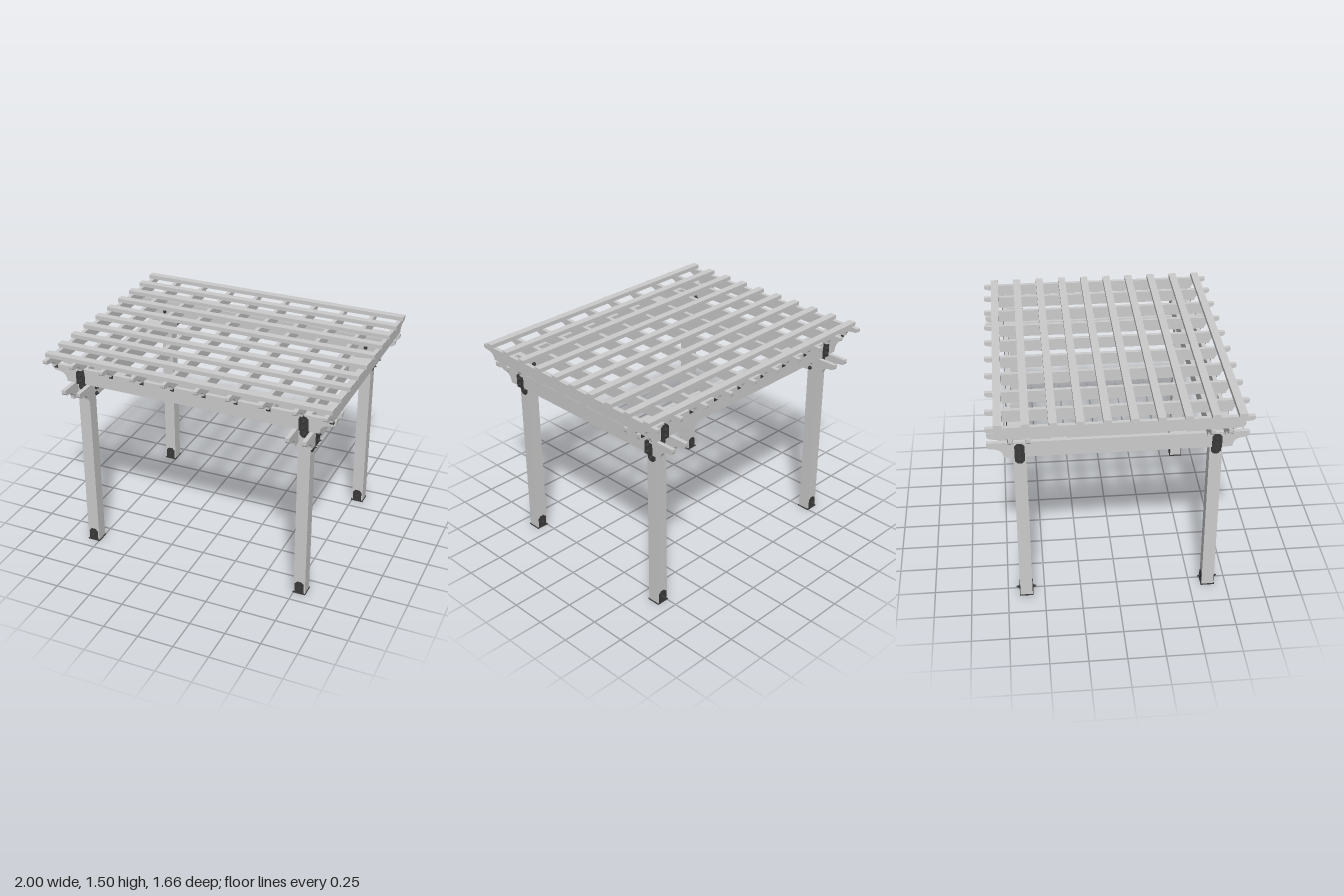
import * as THREE from 'three';

const WOOD = new THREE.MeshStandardMaterial({ color: 0xcccccc, flatShading: true });
const IRON = new THREE.MeshStandardMaterial({ color: 0x3a3a3a, flatShading: true });

const PX = 0.79, PZ = 0.625;      // post centres
const HALF = 0.0415, T = 0.028;   // half post width, beam thickness
const Y1 = 1.17, Y2 = 1.28, Y3 = 1.39, Y4 = 1.472, Y5 = 1.5; // layer heights

function add(parent, name, geometry, material, x = 0, y = 0, z = 0) {
  const mesh = new THREE.Mesh(geometry, material);
  mesh.name = name;
  mesh.position.set(x, y, z);
  parent.add(mesh);
  return mesh;
}

const box = (w, h, d) => new THREE.BoxGeometry(w, h, d);

// Board along x with ogee-cut lower ends, base at y = 0, centred in z
function ogeeBoard(half, h) {
  const side = [[0, h], [0, h * 0.8]];
  for (let i = 1; i <= 5; i++) { // convex nose
    const a = (i / 5) * Math.PI / 2;
    side.push([0.036 * (1 - Math.cos(a)), h * (0.8 - 0.2 * Math.sin(a))]);
  }
  for (let i = 1; i <= 6; i++) { // concave sweep
    const a = (i / 6) * Math.PI / 2;
    side.push([0.036 + 0.066 * Math.sin(a), h * (0.6 - 0.44 * (1 - Math.cos(a)))]);
  }
  side.push([0.106, h * 0.14], [0.106, 0]);
  const left = side.map(([d, y]) => new THREE.Vector2(-half + d, y));
  const right = side.map(([d, y]) => new THREE.Vector2(half - d, y)).reverse();
  const geo = new THREE.ExtrudeGeometry(new THREE.Shape([...left, ...right]), { depth: T, bevelEnabled: false });
  return geo.translate(0, 0, -T / 2);
}

// Thin plate facing +z, with clipped corners at the top and/or bottom
function plate(w, y0, y1, clipTop, clipBottom, t = 0.005) {
  const a = w / 2, c = w * 0.28;
  const pts = [];
  if (clipBottom) pts.push([-a, y0 + c], [-a + c, y0], [a - c, y0], [a, y0 + c]);
  else pts.push([-a, y0], [a, y0]);
  if (clipTop) pts.push([a, y1 - c], [a - c, y1], [-a + c, y1], [-a, y1 - c]);
  else pts.push([a, y1], [-a, y1]);
  const shape = new THREE.Shape(pts.map(([x, y]) => new THREE.Vector2(x, y)));
  return new THREE.ExtrudeGeometry(shape, { depth: t, bevelEnabled: false });
}

// Washer and pointed nut sticking out along dir * z
function bolt(parent, x, y, z, dir = 1) {
  const g = new THREE.Group();
  g.name = 'bolt';
  const washer = new THREE.CylinderGeometry(0.014, 0.014, 0.006, 12).rotateX(Math.PI / 2);
  const nut = new THREE.CylinderGeometry(0.002, 0.011, 0.018, 8).rotateX(Math.PI / 2);
  add(g, 'washer', washer, IRON, 0, 0, 0.003);
  add(g, 'nut', nut, IRON, 0, 0, 0.015);
  g.position.set(x, y, z);
  if (dir < 0) g.rotation.y = Math.PI;
  parent.add(g);
}

// Offset tie: upper plate on the beam, step, lower tab on the post
function beamTie(angle) {
  const g = new THREE.Group();
  g.name = 'beamTie';
  const out = HALF + T;
  add(g, 'upperPlate', plate(0.064, -0.003, 0.098, true, false), IRON, 0, 0, out);
  add(g, 'step', box(0.064, 0.005, T + 0.005), IRON, 0, -0.0025, HALF + T / 2 + 0.0025);
  add(g, 'lowerTab', plate(0.064, -0.066, 0, false, true), IRON, 0, 0, HALF);
  for (const y of [0.065, 0.022]) {
    bolt(g, 0, y, out + 0.004);
    bolt(g, 0, y, -out, -1);
  }
  bolt(g, 0, -0.035, HALF + 0.004);
  g.rotation.y = angle;
  return g;
}

export function createModel() {
  const model = new THREE.Group();
  model.name = 'pergola';
  const offsets = [-1, 1].map(s => s * (HALF + T / 2));

  // Posts with base shoes and beam ties
  for (const sx of [-1, 1]) for (const sz of [-1, 1]) {
    const corner = new THREE.Group();
    corner.name = 'postAssembly';
    corner.position.set(sx * PX, 0, sz * PZ);
    model.add(corner);
    add(corner, 'post', box(HALF * 2, Y3 - 0.008, HALF * 2), WOOD, 0, (Y3 + 0.008) / 2, 0);
    add(corner, 'basePlate', box(0.09, 0.008, 0.094), IRON, 0, 0.004, 0);
    for (const s of [-1, 1]) {
      const shoe = new THREE.Group();
      shoe.name = 'baseShoe';
      add(shoe, 'shoePlate', plate(0.064, 0, 0.095, true, false), IRON, 0, 0, HALF);
      bolt(shoe, 0, 0.045, HALF + 0.002);
      if (s < 0) shoe.rotation.y = Math.PI;
      corner.add(shoe);
    }
    const upper = beamTie(sz > 0 ? 0 : Math.PI);
    upper.position.y = Y2;
    const lower = beamTie(sx * Math.PI / 2);
    lower.position.y = Y1;
    corner.add(upper, lower);
  }

  // Paired beams on both faces of the posts
  const sideBeam = ogeeBoard(0.83, Y2 - Y1).rotateY(Math.PI / 2);
  const crossBeam = ogeeBoard(1, Y3 - Y2);
  for (const s of [-1, 1]) for (const o of offsets) {
    add(model, 'sideBeam', sideBeam, WOOD, s * PX + o, Y1, 0);
    add(model, 'crossBeam', crossBeam, WOOD, 0, Y2, s * PZ + o);
  }

  // Spacer blocks between the paired beams
  for (const sx of [-1, 1]) for (const sz of [-1, 1]) {
    add(model, 'crossSpacer', box(0.107, Y3 - Y2, HALF * 2), WOOD, sx * 0.524, (Y2 + Y3) / 2, sz * PZ);
    add(model, 'sideSpacer', box(HALF * 2, Y2 - Y1, 0.107), WOOD, sx * PX, (Y1 + Y2) / 2, sz * 0.38);
  }

  // Rafters with small ties on the outer cross beams
  const rafter = ogeeBoard(0.83, Y4 - Y3).rotateY(Math.PI / 2);
  for (const x of [0.112, 0.333, 0.556, 0.777, 0.973]) for (const s of [-1, 1]) {
    add(model, 'rafter', rafter, WOOD, s * x, Y3, 0);
    for (const sz of [-1, 1]) {
      add(model, 'rafterTie', box(T, 0.026, 0.004), IRON, s * x, Y3 - 0.012, sz * (PZ + HALF + T + 0.002));
    }
  }

  // Roof slats
  for (let i = 0; i < 10; i++) {
    add(model, 'slat', box(2, Y5 - Y4, 0.052), WOOD, 0, (Y4 + Y5) / 2, (i - 4.5) * 0.167);
  }
  return model;
}
